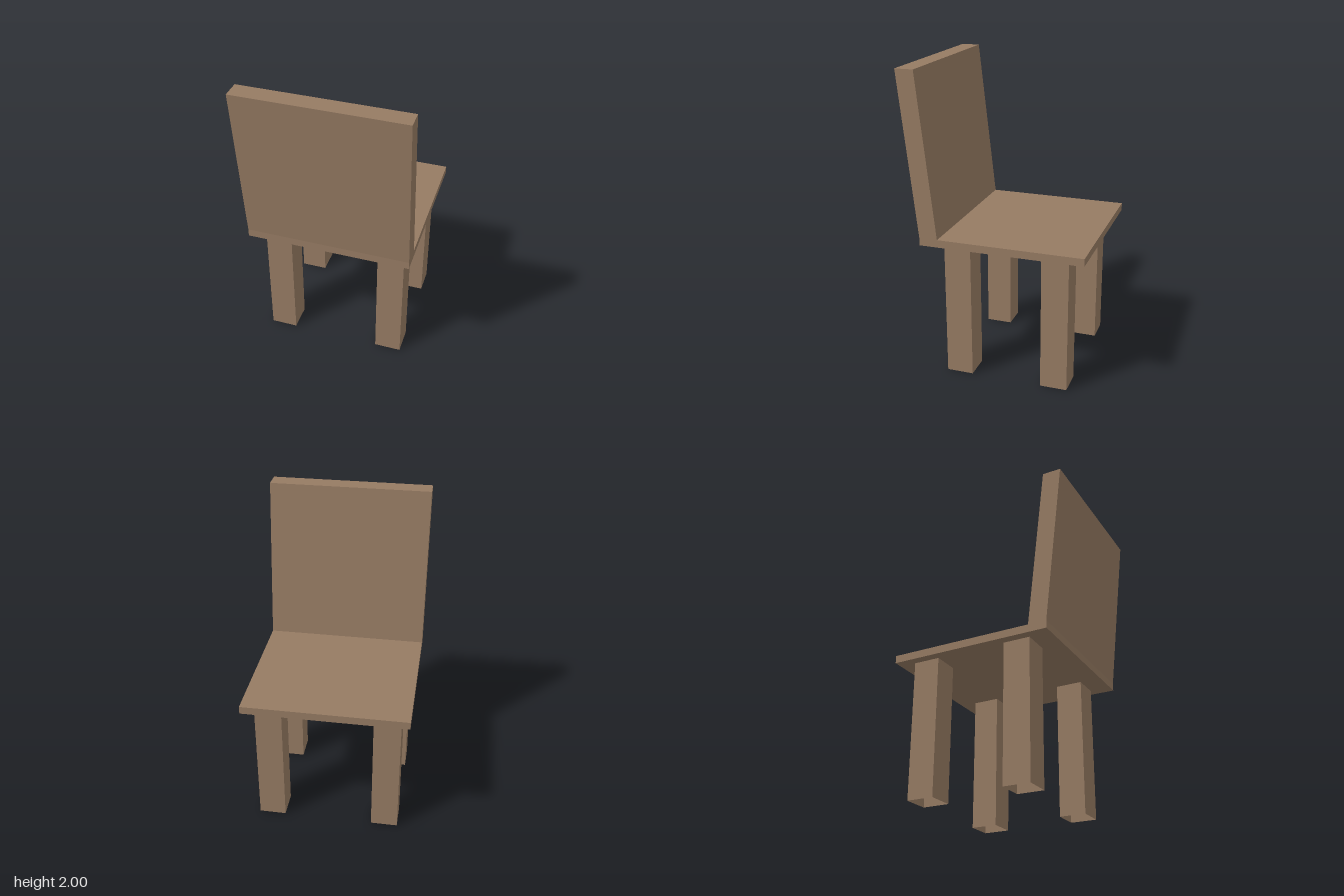
import * as THREE from 'three';

const WIDTH = 1.06;
const SEAT_BOTTOM = 0.895;
const SEAT_TOP = 0.945;

// Extrudes a side profile of [z, y] points across the chair's width
function slab(name, profile, material) {
  const shape = new THREE.Shape(profile.map(([z, y]) => new THREE.Vector2(z, y)));
  const geometry = new THREE.ExtrudeGeometry(shape, { depth: WIDTH, bevelEnabled: false });
  geometry.translate(0, 0, -WIDTH / 2);
  geometry.rotateY(-Math.PI / 2);
  const mesh = new THREE.Mesh(geometry, material);
  mesh.name = name;
  return mesh;
}

export function createModel() {
  const chair = new THREE.Group();
  chair.name = 'chair';
  const wood = new THREE.MeshStandardMaterial({
    color: 0x967b63, flatShading: true, side: THREE.DoubleSide,
  });
  wood.name = 'brown wood';

  // Thin flat seat
  chair.add(slab('seat', [
    [-0.59, SEAT_BOTTOM], [0.475, SEAT_BOTTOM], [0.475, SEAT_TOP], [-0.59, SEAT_TOP],
  ], wood));

  // Leaning backrest with a level top edge
  chair.add(slab('backrest', [
    [0.355, SEAT_TOP], [0.475, SEAT_TOP], [0.59, 2], [0.47, 2],
  ], wood));

  // Four square hollow legs, open at the foot
  const legSize = 0.175;
  const legGeometry = new THREE.CylinderGeometry(
    legSize * Math.SQRT1_2, legSize * Math.SQRT1_2, SEAT_BOTTOM, 4, 1, true, Math.PI / 4);
  for (const [end, z] of [['back', 0.247], ['front', -0.393]]) {
    for (const [side, x] of [['Left', 0.38], ['Right', -0.383]]) {
      const leg = new THREE.Mesh(legGeometry, wood);
      leg.name = `${end}${side}Leg`;
      leg.position.set(x, SEAT_BOTTOM / 2, z);
      chair.add(leg);
    }
  }
  return chair;
}
